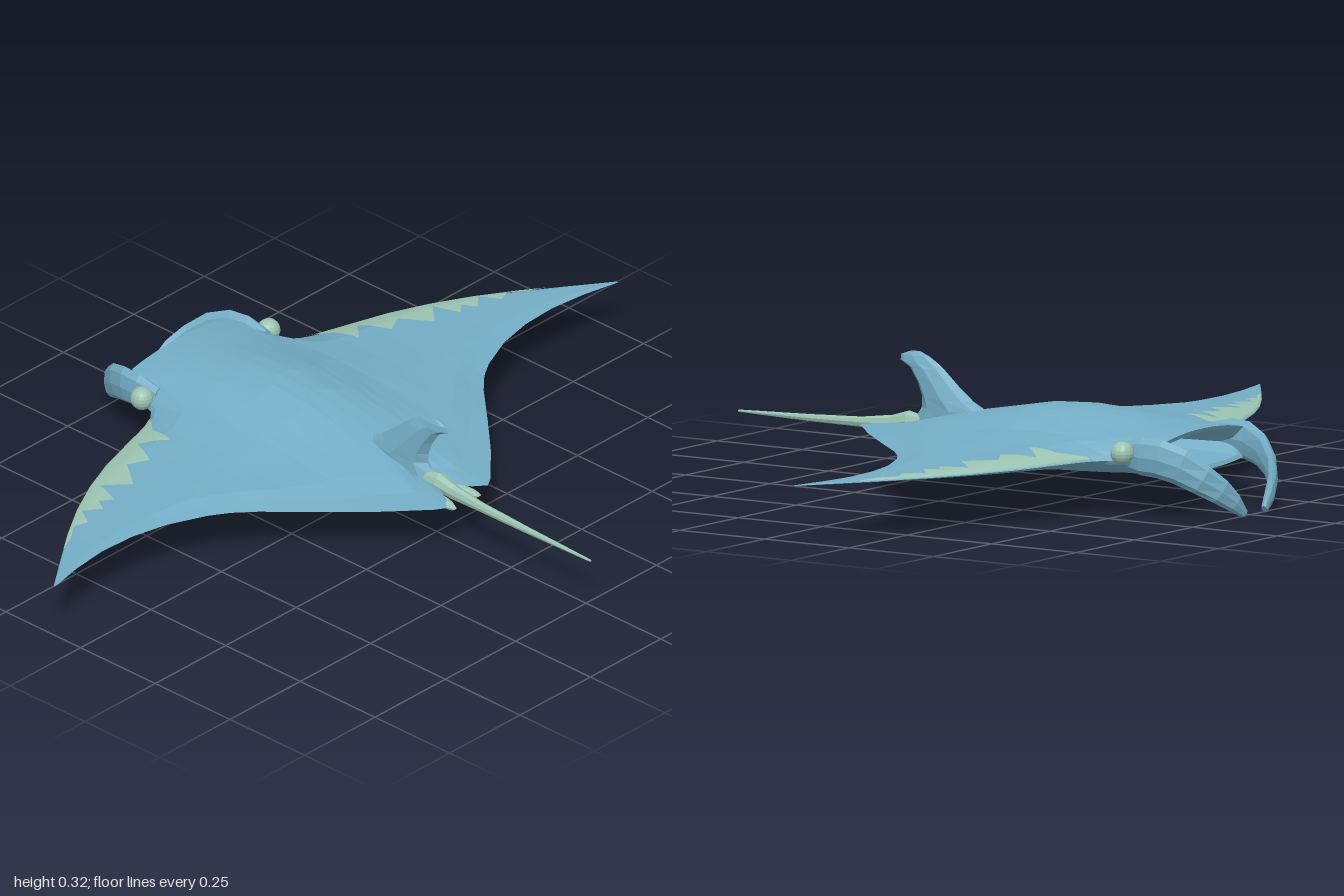
import * as THREE from 'three';

const V = (x, y, z) => new THREE.Vector3(x, y, z);
const MID = 0.146;

// Piecewise linear lookup in [[key, value], ...]
function lookup(table, k) {
  if (k <= table[0][0]) return table[0][1];
  for (let i = 1; i < table.length; i++) {
    const [k0, v0] = table[i - 1], [k1, v1] = table[i];
    if (k <= k1) return v0 + (v1 - v0) * (k - k0) / (k1 - k0);
  }
  return table[table.length - 1][1];
}

// Outline: leading and trailing edge z by distance from the centre line
const LEAD = [[0, -0.61], [0.17, -0.61], [0.2, -0.57], [0.23, -0.49], [0.26, -0.465], [0.3, -0.447], [0.4, -0.418],
  [0.5, -0.388], [0.6, -0.347], [0.7, -0.295], [0.8, -0.232], [0.9, -0.162], [1, -0.09]];
const TRAIL = [[0, 0.27], [0.02, 0.28], [0.045, 0.325], [0.075, 0.35], [0.1, 0.335], [0.2, 0.243], [0.3, 0.138], [0.4, 0.03],
  [0.45, -0.015], [0.5, -0.047], [0.6, -0.09], [0.7, -0.112], [0.8, -0.117], [0.9, -0.106], [1, -0.085]];
// Thickness above and below the middle plane along z, and its fall-off across the span
const UPPER = [[-0.61, 0.062], [-0.5, 0.071], [-0.35, 0.09], [-0.25, 0.094], [-0.15, 0.088], [0, 0.06], [0.1, 0.041],
  [0.2, 0.023], [0.35, 0.008]];
const LOWER = [[-0.61, 0.042], [-0.5, 0.052], [-0.35, 0.066], [-0.2, 0.071], [0, 0.056], [0.15, 0.035], [0.35, 0.014]];
const SPAN = [[0, 1], [0.05, 0.96], [0.1, 0.84], [0.15, 0.68], [0.2, 0.53], [0.3, 0.36], [0.4, 0.25], [0.5, 0.18],
  [0.6, 0.12], [0.8, 0.055], [1, 0.012]];

// Signed surface height at x, z; side is 1 for the back and -1 for the belly
function height(x, z, side) {
  const ax = Math.abs(x);
  const z0 = lookup(LEAD, ax), z1 = lookup(TRAIL, ax);
  const v = THREE.MathUtils.clamp((z - z0) / (z1 - z0), 0, 1);
  const front = ax < 0.171 ? 1 : Math.min(1, Math.sqrt(v / 0.15));
  const rear = Math.min(1, (1 - v) / 0.2);
  const head = 1 - THREE.MathUtils.smoothstep(z, -0.57, -0.4);
  const headShape = Math.sqrt(Math.max(0, 1 - (ax / 0.25) ** 2));
  const f = THREE.MathUtils.lerp(lookup(SPAN, ax), Math.max(headShape, lookup(SPAN, ax)), head);
  return MID + side * lookup(side > 0 ? UPPER : LOWER, z) * f * front * rear;
}

// Surface through rows of points; normals point along (row direction) x (next row)
function skin(rows, closed = false) {
  const n = rows[0].length, index = [];
  for (let i = 0; i < rows.length - 1; i++) {
    for (let j = 0; j < (closed ? n : n - 1); j++) {
      const k = (j + 1) % n;
      const a = i * n + j, b = a + n, c = (i + 1) * n + k, d = i * n + k;
      index.push(a, d, b, b, d, c);
    }
  }
  const g = new THREE.BufferGeometry();
  g.setAttribute('position', new THREE.Float32BufferAttribute(rows.flat().flatMap(p => p.toArray()), 3));
  g.setIndex(index);
  g.computeVertexNormals();
  return g;
}

// Closed loft of elliptical sections [centre, axis A, axis B], with A x B along the spine
function loft(sections, sides) {
  const rows = sections.map(([c, A, B]) => Array.from({ length: sides }, (_, j) => {
    const t = j / sides * Math.PI * 2;
    return c.clone().addScaledVector(A, Math.cos(t)).addScaledVector(B, Math.sin(t));
  }));
  const cap = c => Array.from({ length: sides }, () => c.clone());
  return skin([cap(sections[0][0]), ...rows, cap(sections[sections.length - 1][0])], true);
}

export function createModel() {
  const model = new THREE.Group();
  model.name = 'mantaRay';
  const blue = new THREE.MeshStandardMaterial({ name: 'blueSkin', color: 0x74adc5, flatShading: true });
  const pale = new THREE.MeshStandardMaterial({ name: 'paleGreen', color: 0x9cc4b2, flatShading: true });
  const mouthSkin = blue.clone();
  mouthSkin.side = THREE.DoubleSide;
  const add = (name, geometry, material) => {
    const mesh = new THREE.Mesh(geometry, material);
    mesh.name = name;
    model.add(mesh);
    return mesh;
  };

  // Body and wings: one chord section per span station, back then belly
  const half = [0.02, 0.045, 0.075, 0.1, 0.135, 0.17, 0.2, 0.23, 0.26, 0.3, 0.35, 0.4, 0.45, 0.5, 0.55, 0.6, 0.65,
    0.7, 0.75, 0.8, 0.85, 0.9, 0.95, 1];
  const stations = [...half.map(x => -x).reverse(), 0, ...half];
  const chord = [0, 0.02, 0.05, 0.1, 0.15, 0.25, 0.37, 0.5, 0.62, 0.72, 0.8, 0.9, 1];
  const sectionRow = (x, side) => chord.map(v => {
    const z = THREE.MathUtils.lerp(lookup(LEAD, Math.abs(x)), lookup(TRAIL, Math.abs(x)), v);
    return V(x, height(x, z, side), z);
  });
  add('body', skin(stations.map(x => [...sectionRow(x, 1), ...sectionRow(x, -1).reverse()])), blue);

  // Mouth: the open front rim drawn back into a pocket
  const lips = stations.filter(x => Math.abs(x) < 0.201);
  const rim = side => lips.map(x => V(x, height(x, lookup(LEAD, Math.abs(x)), side), lookup(LEAD, Math.abs(x))));
  const rimLoop = [...rim(1), ...rim(-1).reverse()];
  const inward = [[1, 1, 0], [0.9, 0.8, 0.005], [0.8, 0.65, 0.1], [0.6, 0.4, 0.22], [0, 0, 0.24]];
  add('mouth', skin(inward.map(([sx, sy, dz]) => rimLoop.map(p =>
    V(p.x * sx, 0.153 + (p.y - 0.153) * sy, (dz ? Math.max(p.z, -0.61) : p.z) + dz))), true), mouthSkin);

  // Dorsal fin: [y, front z, rear z, half thickness]
  add('dorsalFin', loft([[0.15, 0.0, 0.25, 0.034], [0.19, 0.02, 0.222, 0.034], [0.215, 0.07, 0.222, 0.031],
    [0.25, 0.115, 0.235, 0.025], [0.285, 0.155, 0.258, 0.019], [0.3, 0.175, 0.286, 0.015], [0.315, 0.2, 0.284, 0.011],
    [0.325, 0.225, 0.255, 0.005]].map(([y, z0, z1, w]) =>
    [V(0, y, (z0 + z1) / 2), V(0, 0, (z1 - z0) / 2), V(w, 0, 0)]), 8), blue);

  // Tail: [z, y, half width, half height]
  add('tail', loft([[0.2, 0.15, 0.018, 0.014], [0.26, 0.152, 0.022, 0.025], [0.31, 0.142, 0.015, 0.02],
    [0.4, 0.137, 0.011, 0.013], [0.55, 0.134, 0.008, 0.009], [0.765, 0.133, 0.003, 0.003]].map(([z, y, w, h]) =>
    [V(0, y, z), V(w, 0, 0), V(0, h, 0)]), 8), pale);

  // Tooth-shaped inner border of the wing markings
  const TEETH = [[0.27, -0.455], [0.32, -0.4], [0.335, -0.325], [0.39, -0.385], [0.43, -0.305], [0.48, -0.335],
    [0.535, -0.262], [0.59, -0.32], [0.615, -0.25], [0.645, -0.275], [0.665, -0.24], [0.705, -0.275], [0.735, -0.225],
    [0.77, -0.24], [0.81, -0.21], [0.86, -0.188]];

  for (const s of [1, -1]) {
    const label = s > 0 ? 'left' : 'right';

    // Cephalic fin: flattened blade curling forward, down and in: [x, y, z, half height, half thickness]
    const spine = [[0.19, 0.16, -0.5, 0.03, 0.02], [0.193, 0.158, -0.56, 0.047, 0.021], [0.188, 0.155, -0.61, 0.048, 0.021],
      [0.173, 0.138, -0.66, 0.045, 0.017], [0.146, 0.106, -0.707, 0.038, 0.015], [0.112, 0.076, -0.738, 0.032, 0.013],
      [0.075, 0.045, -0.754, 0.024, 0.012], [0.043, 0.016, -0.761, 0.012, 0.008]];
    const at = i => V(spine[i][0] * s, spine[i][1], spine[i][2]);
    add(label + 'CephalicFin', loft(spine.map((p, i) => {
      const T = at(Math.min(i + 1, spine.length - 1)).sub(at(Math.max(i - 1, 0))).normalize();
      const A = V(0, 1, 0).addScaledVector(T, -T.y).normalize();
      const B = T.clone().cross(A);
      return [at(i), A.multiplyScalar(p[3]), B.multiplyScalar(p[4])];
    }), 8), blue);

    // Eye
    const eye = add(label + 'Eye', new THREE.SphereGeometry(0.029, 14, 10), pale);
    eye.position.set(s * 0.225, 0.167, -0.525);

    // Pelvic fin beside the tail root
    const pelvic = add(label + 'PelvicFin', new THREE.SphereGeometry(1, 10, 6), pale);
    pelvic.scale.set(0.015, 0.012, 0.055);
    pelvic.position.set(s * 0.036, 0.131, 0.302);
    pelvic.rotation.y = s * 0.15;

    // Pale toothed marking along the leading edge
    const xs = Array.from({ length: 119 }, (_, i) => 0.27 + i * 0.005).map(x => x * s).sort((a, b) => a - b);
    add(label + 'WingMarking', skin(xs.map(x => {
      const z0 = lookup(LEAD, Math.abs(x)), z1 = Math.max(z0, lookup(TEETH, Math.abs(x)));
      return Array.from({ length: 9 }, (_, j) => {
        const z = THREE.MathUtils.lerp(z0, z1, (j / 8) ** 1.5);
        return V(x, height(x, z, 1) + 0.003, z);
      });
    })), pale);
  }
  return model;
}
